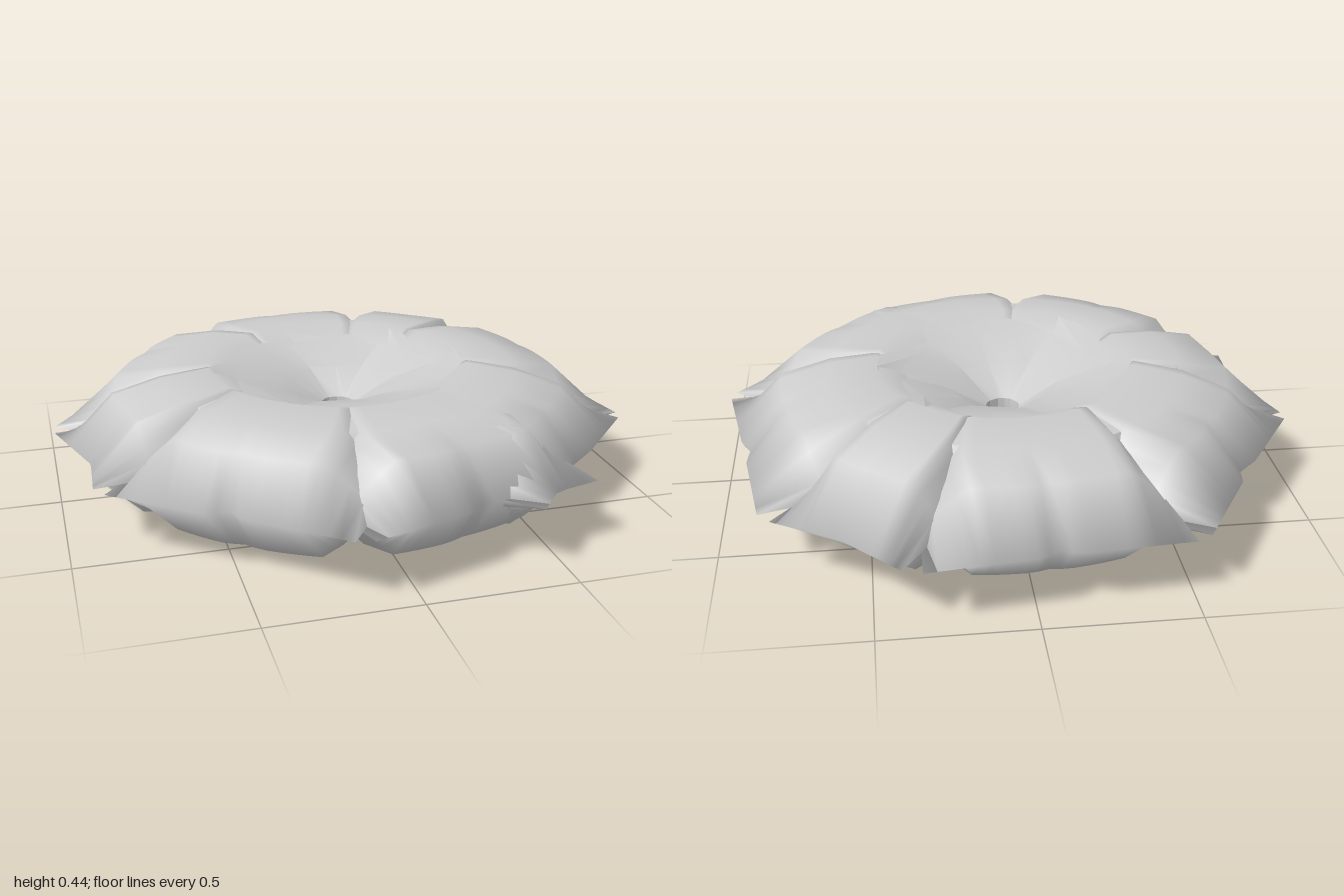
import * as THREE from 'three';
import { toCreasedNormals, mergeVertices } from 'three/addons/utils/BufferGeometryUtils.js';

const MID = 0.225;

// Outer edge of each petal at mid height, seen from above: [x, z] from tip to tip
const PETALS = [
  [[-0.49, -0.91], [-0.12, -0.935], [-0.06, -0.905], [-0.02, -0.945], [0.35, -0.985]],
  [[0.41, -0.965], [0.59, -0.78], [0.81, -0.65]],
  [[0.85, -0.605], [0.91, -0.24], [0.89, -0.2], [0.93, -0.13], [0.995, 0.23]],
  [[0.98, 0.28], [0.73, 0.55], [0.66, 0.57], [0.62, 0.66], [0.41, 0.91]],
  [[0.66, 0.76], [0.51, 0.8], [0.24, 0.82], [0.19, 0.87], [-0.15, 0.975]],
  [[-0.21, 0.965], [-0.5, 0.73], [-0.52, 0.67], [-0.6, 0.67], [-0.88, 0.45]],
  [[-0.91, 0.4], [-0.9, 0.2], [-1, -0.11]],
  [[-1, -0.16], [-0.79, -0.47], [-0.73, -0.5], [-0.73, -0.57], [-0.54, -0.88]],
];

// Surface through a grid of points; rows run outwards over the top and back underneath
function gridGeometry(columns, closed) {
  const rows = columns[0].length;
  const index = [];
  const count = closed ? columns.length : columns.length - 1;
  for (let i = 0; i < count; i++) {
    const i2 = (i + 1) % columns.length;
    for (let j = 0; j < (closed ? rows : rows - 1); j++) {
      const j2 = (j + 1) % rows;
      const a = i * rows + j, b = i2 * rows + j, c = i2 * rows + j2, d = i * rows + j2;
      index.push(a, b, d, b, c, d);
    }
  }
  const geometry = new THREE.BufferGeometry();
  geometry.setAttribute('position', new THREE.Float32BufferAttribute(columns.flat(2), 3));
  geometry.setIndex(index);
  return geometry;
}

const polar = (r, angle, h) => [r * Math.cos(angle), MID + h, r * Math.sin(angle)];

// A petal: a six-sided pillow, pointed at both ends and widening towards the ring
function petalGeometry(points) {
  const path = new THREE.Path(points.map(([x, z]) => new THREE.Vector2(x, z)));
  const start = Math.atan2(points[0][1], points[0][0]);
  const steps = 20;
  const columns = [];
  // angle from the first tip, kept continuous across the back
  const sweep = (p) => {
    const d = Math.atan2(p.y, p.x) - start;
    return Math.atan2(Math.sin(d), Math.cos(d));
  };
  const half = sweep(path.getPoint(1)) / 2;
  for (let i = 0; i <= steps; i++) {
    const t = i / steps;
    const p = path.getPoint(t);
    const rim = p.length();
    const rise = Math.min(1, t / 0.2, (1 - t) / 0.2) ** 0.85;
    const dome = 0.012 * Math.sin(Math.PI * t);
    // [radius, height, widening]
    const top = [
      [0.35, 0.158 + dome, 0.8],
      [0.46, 0.206 + dome, 0.75],
      [0.63, 0.186 + dome, 0.55],
      [0.45 + 0.36 * rim, 0.158, 0.22],
    ];
    const loop = [...top, [rim, 0, 0], ...top.map(([r, h, w]) => [r, -h, w]).reverse()];
    columns.push(loop.map(([r, h, w]) =>
      polar(r, start + half + (sweep(p) - half) * (1 + w), h * rise)));
  }
  const geometry = mergeVertices(gridGeometry(columns, false), 1e-5);
  geometry.computeVertexNormals();
  return geometry;
}

// The core: a broad funnel above and below a small centre hole
function coreGeometry() {
  const sides = 14;
  const columns = [];
  for (let i = 0; i < sides; i++) {
    const angle = (i / sides) * Math.PI * 2 + 0.08 * Math.sin(i * 2.3);
    const wave = Math.cos(i * 2.6);
    const top = [
      [0.06, 0.045],
      [0.19 + 0.015 * wave, 0.125],
      [0.36 + 0.025 * wave, 0.178],
      [0.47 - 0.02 * wave, 0.208 + 0.006 * wave],
      [0.62 + 0.02 * wave, 0.183],
    ];
    const loop = [[0.056, 0], ...top, [0.75, 0], ...top.map(([r, h]) => [r, -h]).reverse()];
    columns.push(loop.map(([r, h]) => {
      const [x, y, z] = polar(r, angle, h);
      // the hole sits slightly off centre
      const shift = Math.max(0, 1 - r / 0.5);
      return [x + 0.01 * shift, y, z - 0.03 * shift];
    }));
  }
  return toCreasedNormals(gridGeometry(columns, true), 0.3);
}

export function createModel() {
  const group = new THREE.Group();
  group.name = 'petalRing';
  const grey = new THREE.MeshStandardMaterial({ color: 0xcccccc });
  grey.name = 'light grey';
  const add = (name, geometry) => {
    const mesh = new THREE.Mesh(geometry, grey);
    mesh.name = name;
    group.add(mesh);
  };
  add('core', coreGeometry());
  PETALS.forEach((points, i) => add(`petal${i + 1}`, petalGeometry(points)));
  return group;
}
